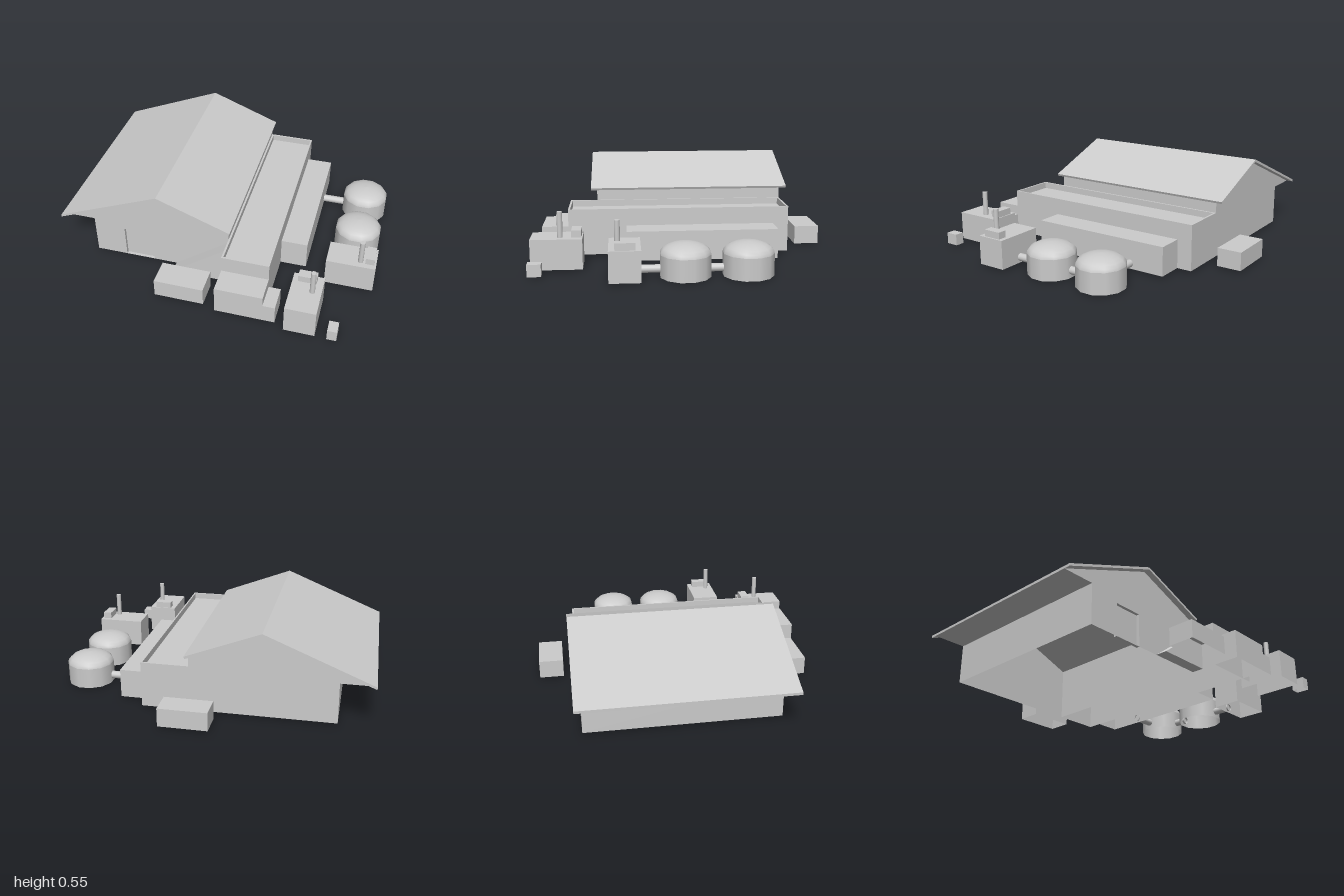
import * as THREE from 'three';

const material = new THREE.MeshStandardMaterial({ color: 0xcccccc, side: THREE.DoubleSide });
const GROUND = 0.01;

export function createModel() {
  const model = new THREE.Group();

  const add = (name, geometry, x = 0, y = 0, z = 0, parent = model) => {
    const mesh = new THREE.Mesh(geometry, material);
    mesh.name = name;
    mesh.position.set(x, y, z);
    parent.add(mesh);
    return mesh;
  };

  // Box given by its limits, open underneath
  const openBox = (name, x0, x1, y0, y1, z0, z1) => {
    const geometry = new THREE.BoxGeometry(x1 - x0, y1 - y0, z1 - z0);
    const index = Array.from(geometry.index.array);
    index.splice(18, 6);
    geometry.setIndex(index);
    return add(name, geometry, (x0 + x1) / 2, (y0 + y1) / 2, (z0 + z1) / 2);
  };

  const outline = (points) => new THREE.Shape(points.map(([x, y]) => new THREE.Vector2(x, y)));
  const rect = (x0, x1, y0, y1) => [[x0, y0], [x1, y0], [x1, y1], [x0, y1]];
  const extrude = (shape, depth) => new THREE.ExtrudeGeometry(shape, { depth, bevelEnabled: false });

  // Barn: two gable walls, side walls and the flat soffit below the low eave
  const back = -0.665, front = 0.53, depth = front - back, midZ = (front + back) / 2;
  const gable = [[-0.79, GROUND], [0.1, GROUND], [0.1, 0.364], [-0.345, 0.535], [-1, 0.266], [-0.79, 0.266]];
  const frontShape = outline(gable);
  frontShape.holes.push(new THREE.Path(outline(rect(-0.59, -0.4, 0.0101, 0.22)).getPoints()));
  add('frontWall', new THREE.ShapeGeometry(frontShape), 0, 0, front);
  add('backWall', new THREE.ShapeGeometry(outline(gable)).rotateY(Math.PI).scale(-1, 1, 1), 0, 0, back);
  for (const [name, x, top, turn] of [['rightWall', -0.79, 0.266, -1], ['leftWall', 0.1, 0.364, 1]]) {
    const wall = new THREE.PlaneGeometry(depth, top - GROUND).rotateY(turn * Math.PI / 2);
    add(name, wall, x, (top + GROUND) / 2, midZ);
  }
  add('soffit', new THREE.PlaneGeometry(0.21, depth).rotateX(Math.PI / 2), -0.895, 0.266, midZ);

  // Door set back in its opening; the open box is turned to face the front
  const door = new THREE.BoxGeometry(0.19, 0.21, 0.02);
  const doorIndex = Array.from(door.index.array);
  doorIndex.splice(24, 6);
  door.setIndex(doorIndex);
  add('recessedDoor', door, -0.495, 0.115, front - 0.01);

  // Roof slab, with uneven eaves
  const roof = outline([[-1, 0.266], [-0.345, 0.535], [0.11, 0.36], [0.116, 0.374], [-0.345, 0.551], [-1, 0.282]]);
  add('roof', extrude(roof, 1.28), 0, 0, -0.71);

  // Flat-roofed side wing with a low parapet
  openBox('sideWing', 0.1, 0.395, GROUND, 0.255, back, 0.7);
  const rim = outline(rect(0.1, 0.395, -0.7, 0.665));
  rim.holes.push(new THREE.Path(outline(rect(0.112, 0.385, -0.688, 0.653)).getPoints()));
  add('parapet', extrude(rim, 0.04).rotateX(-Math.PI / 2), 0, 0.255, 0);

  // Sloped ramp rising to the wing
  add('ramp', extrude(outline([[-0.25, GROUND], [0.1, GROUND], [0.1, 0.268]]), 0.605 - front), 0, 0, front);

  // Low annexes and sheds
  openBox('longAnnex', 0.395, 0.56, GROUND, 0.19, -0.57, 0.345);
  openBox('frontAnnex', 0.1, 0.395, GROUND, 0.19, 0.7, 0.86);
  openBox('annexStep', 0.395, 0.47, GROUND, 0.13, 0.7, 0.86);
  openBox('frontBin', -0.29, 0.02, GROUND, 0.125, 0.665, 0.83);
  openBox('backBin', -0.07, 0.23, GROUND, 0.125, -0.905, -0.75);
  openBox('smallCrate', 0.787, 0.845, GROUND, 0.082, 0.825, 0.905);

  // Two boiler sheds, each with a roof vent and a chimney
  const sheds = [
    { body: [0.695, 0.997, 0.27, 0.45], vent: [0.93, 0.985, 0.3, 0.415], chimney: [0.9, 0.4] },
    { body: [0.53, 0.717, 0.6, 0.9], vent: [0.563, 0.675, 0.607, 0.665], chimney: [0.662, 0.73] },
  ];
  for (const { body, vent, chimney } of sheds) {
    openBox('boilerShed', body[0], body[1], GROUND, 0.19, body[2], body[3]);
    openBox('roofVent', vent[0], vent[1], 0.19, 0.232, vent[2], vent[3]);
    add('chimney', new THREE.CylinderGeometry(0.016, 0.016, 0.155, 12), chimney[0], 0.265, chimney[1]);
  }

  // Domed twelve-sided tanks, open underneath
  const R = 0.148, wallTop = 0.13, tankX = 0.842;
  const dome = [];
  for (let i = 0; i <= 6; i++) {
    const a = (i / 6) * Math.PI / 2;
    dome.push(new THREE.Vector2(R * Math.cos(a), wallTop + 0.068 * Math.sin(a)));
  }
  for (const z of [-0.34, 0.018]) {
    const tank = new THREE.Group();
    tank.name = 'tank';
    tank.position.set(tankX, 0, z);
    model.add(tank);
    const turn = Math.PI / 12;
    add('tankWall', new THREE.CylinderGeometry(R, R, wallTop, 12, 1, true, turn), 0, wallTop / 2, 0, tank);
    add('tankDome', new THREE.LatheGeometry(dome, 12, turn), 0, 0, 0, tank);
  }

  // Pipes joining the tanks, the annex and the shed
  const pipe = (length) => new THREE.CylinderGeometry(0.024, 0.024, length, 12, 1, true);
  add('annexPipe', pipe(0.16).rotateZ(Math.PI / 2), 0.635, 0.045, -0.34);
  add('tankPipe', pipe(0.1).rotateX(Math.PI / 2), tankX, 0.045, -0.161);
  add('shedPipe', pipe(0.13).rotateX(Math.PI / 2), tankX, 0.045, 0.215);

  return model;
}
